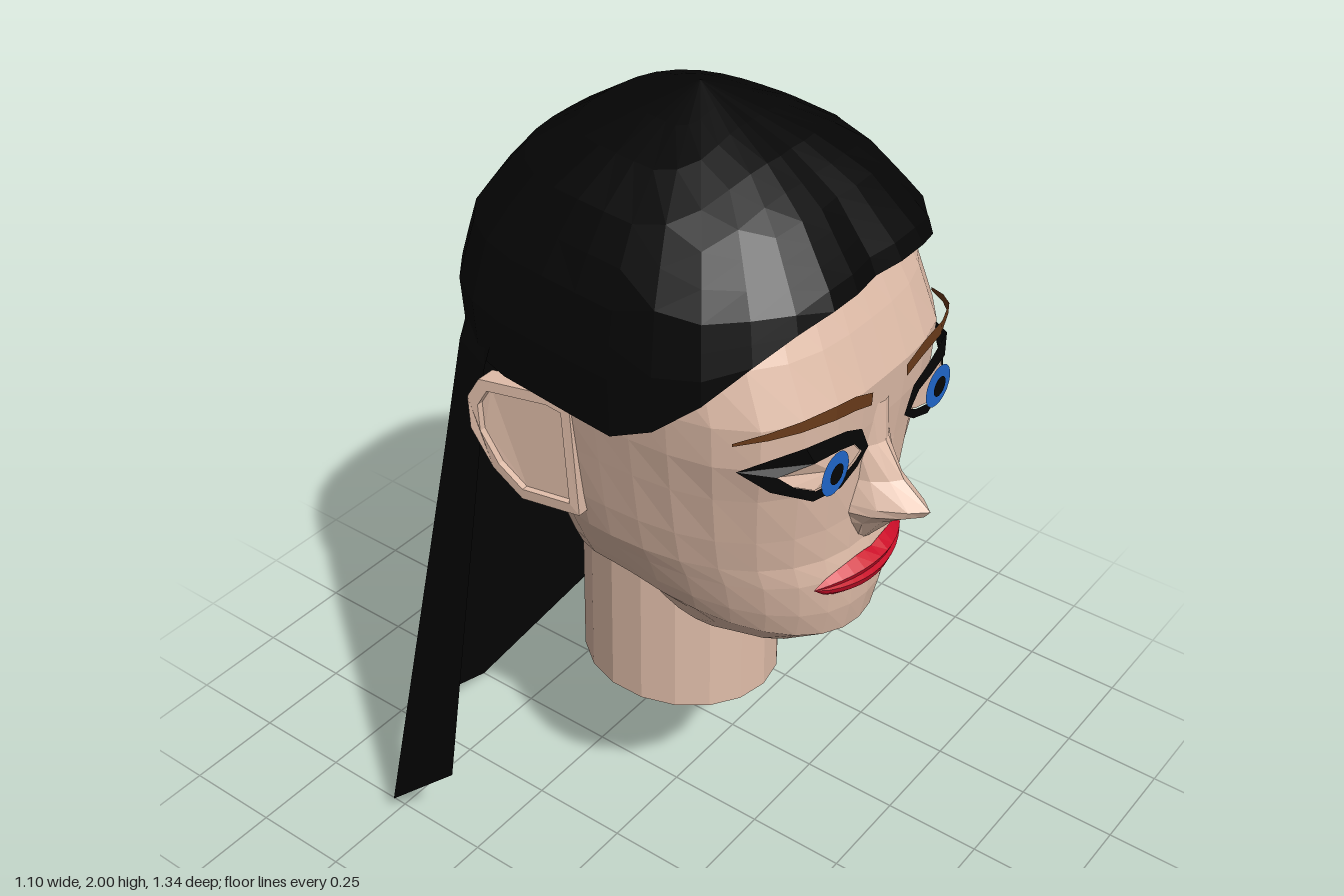
import * as THREE from 'three';

const mat = (name, color, side = THREE.FrontSide) => {
  const m = new THREE.MeshStandardMaterial({ color, side, flatShading: true });
  m.name = name;
  return m;
};

// Surface through rows of [x, y, z] points; rows go up, columns go right as seen from outside
function grid(rows, closed = false) {
  const n = rows[0].length, idx = [];
  for (let r = 0; r < rows.length - 1; r++) {
    for (let c = 0; c < (closed ? n : n - 1); c++) {
      const a = r * n + c, b = r * n + (c + 1) % n;
      idx.push(a, b, a + n, b, b + n, a + n);
    }
  }
  const g = new THREE.BufferGeometry();
  g.setAttribute('position', new THREE.Float32BufferAttribute(rows.flat(2), 3));
  g.setIndex(idx);
  const flat = g.toNonIndexed();
  flat.computeVertexNormals();
  return flat;
}

// Piecewise linear lookup in [key, value] pairs with rising keys
function lookup(table, k) {
  if (k <= table[0][0]) return table[0][1];
  for (let i = 1; i < table.length; i++) {
    const [k0, v0] = table[i - 1], [k1, v1] = table[i];
    if (k <= k1) return v0 + (v1 - v0) * (k - k0) / (k1 - k0);
  }
  return table[table.length - 1][1];
}

// Rounded-box outline point at an angle: 0 is the front, a quarter turn is +x
function outline(a, n, w, front, back, zc) {
  const s = Math.sin(a), c = Math.cos(a);
  const k = Math.pow(Math.pow(Math.abs(s), n) + Math.pow(Math.abs(c), n), -1 / n);
  return [w * s * k, zc + c * k * (c > 0 ? front - zc : zc - back)];
}

const SEG = 32;
const angles = Array.from({ length: SEG }, (_, i) => i / SEG * Math.PI * 2);
// Curve of the face that the eyes and brows lie on
const eyeZ = x => 0.545 - 0.122 * Math.pow(Math.max(0, x - 0.19) / 0.18, 2);

export function createModel() {
  const group = new THREE.Group();
  const skin = mat('skin', 0xe0bda9);
  const skinSheet = mat('skin sheet', 0xe0bda9, THREE.DoubleSide);
  const hair = mat('black hair', 0x050505, THREE.DoubleSide);
  const brown = mat('brow brown', 0x6a3b1a, THREE.DoubleSide);
  const blue = mat('iris blue', 0x2068cc);
  const red = mat('lip red', 0xcc0e28, THREE.DoubleSide);
  const add = (name, geo, material) => {
    const m = new THREE.Mesh(geo, material);
    m.name = name;
    group.add(m);
    return m;
  };

  // Head: y, half width, front, back, squareness, rise of the jaw at the side
  const sections = [
    [0.69, 0.21, 0.27, -0.22, 2, 0.19],
    [0.73, 0.235, 0.40, -0.22, 2, 0.18],
    [0.82, 0.275, 0.515, -0.23, 2.1, 0.10],
    [0.90, 0.298, 0.53, -0.23, 2.2, 0.06],
    [1.00, 0.325, 0.535, -0.24, 2.25, 0.02],
    [1.06, 0.343, 0.522, -0.24, 2.3, 0],
    [1.15, 0.36, 0.522, -0.25, 2.5, 0],
    [1.28, 0.377, 0.526, -0.27, 2.9, 0],
    [1.38, 0.39, 0.535, -0.30, 3.4, 0],
    [1.48, 0.40, 0.54, -0.32, 3.3, 0],
    [1.60, 0.40, 0.495, -0.32, 2.9, 0],
    [1.70, 0.365, 0.45, -0.28, 2.6, 0],
    [1.82, 0.22, 0.28, -0.14, 2.2, 0],
    [1.90, 0.02, 0.10, 0.02, 2, 0],
  ];
  add('head', grid(sections.map(([y, w, f, b, n, rise]) => angles.map(a => {
    const [x, z] = outline(a, n, w, f, b, 0.08);
    const lift = z > 0.05
      ? Math.min(1, (f - z) / (f - 0.05))
      : 1 - 0.5 * (0.05 - z) / 0.27;
    return [x, y + rise * lift, z];
  })), true), skin);

  // Neck
  const neck = new THREE.CylinderGeometry(0.215, 0.22, 0.46, 18);
  neck.scale(1, 1, 1.13);
  neck.translate(0, 0.71, 0.015);
  add('neck', neck, skin);

  // Nose: y, half width, root depth, ridge depth
  const noseRows = [
    [1.05, 0.03, 0.50, 0.518], [1.13, 0.072, 0.505, 0.588],
    [1.165, 0.085, 0.505, 0.655], [1.185, 0.08, 0.51, 0.67],
    [1.24, 0.062, 0.51, 0.60], [1.32, 0.055, 0.515, 0.55], [1.42, 0.045, 0.525, 0.542],
  ];
  const noseCols = [[-1, 0], [-0.8, 0.42], [-0.4, 0.78], [0, 1], [0.4, 0.78], [0.8, 0.42], [1, 0]];
  add('nose', grid(noseRows.map(([y, w, z0, z1]) =>
    noseCols.map(([u, d]) => [u * w, y, z0 + (z1 - z0) * d]))), skin);

  // Lips: each row is height and bulge, both fading to the corners
  const lip = (name, rows, dip) => add(name, grid(rows.map(([dy, dz], r) =>
    Array.from({ length: 13 }, (_, i) => {
      const u = i / 6 - 1, k = Math.pow(1 - u * u, 0.7);
      const notch = dip && r === rows.length - 1 ? 0.008 * Math.max(0, 1 - Math.abs(u) * 4) : 0;
      return [0.17 * u, 0.997 + dy * k - notch, 0.54 - 0.042 * u * u + dz * k];
    }))), red);
  lip('lowerLip', [[-0.056, -0.012], [-0.035, 0.012], [-0.012, 0.021], [0, 0.014]], false);
  lip('upperLip', [[0, 0.014], [0.018, 0.021], [0.043, -0.008]], true);

  // Eye outlines, clockwise from the inner corner
  const outer = [[0.07, 1.345], [0.10, 1.405], [0.16, 1.432], [0.27, 1.442], [0.37, 1.398],
    [0.325, 1.345], [0.25, 1.303], [0.17, 1.296], [0.11, 1.315]];
  const inner = [[0.096, 1.347], [0.125, 1.38], [0.175, 1.395], [0.25, 1.398], [0.315, 1.38],
    [0.288, 1.35], [0.245, 1.327], [0.17, 1.321], [0.12, 1.334]];
  const browTop = [[0.065, 1.475], [0.13, 1.5], [0.2, 1.515], [0.28, 1.508], [0.33, 1.49], [0.375, 1.467]];
  const browLow = [[0.067, 1.445], [0.13, 1.465], [0.2, 1.481], [0.28, 1.482], [0.33, 1.472], [0.375, 1.46]];

  for (const s of [1, -1]) {
    const side = s > 0 ? 'left' : 'right';
    const lay = (pts, off) => {
      const row = pts.map(([x, y]) => [x * s, y, eyeZ(x) + off]);
      return s > 0 ? row : row.reverse();
    };

    // Eye
    add(side + 'EyeSurface', grid([lay(inner.map(() => [0.2, 1.355]), 0), lay(inner, 0)], true), skinSheet);
    add(side + 'EyeLiner', grid([lay(inner, 0.004), lay(outer, 0.004)], true), hair);
    const iris = add(side + 'Iris', new THREE.CircleGeometry(0.05, 20), blue);
    iris.position.set(0.2 * s, 1.352, 0.553);
    const pupil = add(side + 'Pupil', new THREE.CircleGeometry(0.024, 16), hair);
    pupil.position.set(0.2 * s, 1.352, 0.557);

    // Eyebrow
    add(side + 'Eyebrow', grid([lay(browLow, 0.004), lay(browTop, 0.004)]), brown);

    // Ear: rim and recessed bowl, flaring out towards the back
    const earPts = [[0.02, 1.405], [-0.02, 1.42], [-0.18, 1.42], [-0.208, 1.37], [-0.205, 1.29],
      [-0.165, 1.19], [-0.11, 1.115], [0.02, 1.105]].map(p => new THREE.Vector2(...p));
    const mid = new THREE.Vector2(-0.085, 1.275);
    const bowlPts = earPts.map(p => p.clone().sub(mid).multiplyScalar(0.82).add(mid));
    const rim = new THREE.Shape(earPts);
    rim.holes.push(new THREE.Path(bowlPts));
    const ear = (shape, depth) => {
      const g = new THREE.ExtrudeGeometry(shape, { depth, bevelEnabled: false });
      const p = g.attributes.position;
      for (let i = 0; i < p.count; i++) {
        const z = p.getX(i), y = p.getY(i), d = p.getZ(i);
        const flare = 0.06 * (0.02 - z) / 0.22 - 0.15 * Math.max(0, 1.25 - y);
        p.setXYZ(i, s * (0.352 + flare + d), y, z);
      }
      // The swap of axes mirrors the shape, so turn the faces on the left
      if (s > 0) {
        for (let i = 0; i < p.count; i += 3) {
          const a = new THREE.Vector3().fromBufferAttribute(p, i + 1);
          const b = new THREE.Vector3().fromBufferAttribute(p, i + 2);
          p.setXYZ(i + 1, b.x, b.y, b.z);
          p.setXYZ(i + 2, a.x, a.y, a.z);
        }
      }
      g.computeVertexNormals();
      return g;
    };
    add(side + 'EarRim', ear(rim, 0.045), skin);
    add(side + 'EarBowl', ear(new THREE.Shape(bowlPts), 0.03), skin);
  }

  // Hair cap: dome from the hairline up to the crown, drawn in a little at the parting
  const dome = [[1.4, 0.98], [1.57, 1], [1.72, 0.915], [1.85, 0.69], [1.92, 0.45], [2, 0]];
  const hairline = [[-0.25, 1.43], [-0.02, 1.43], [0.2, 1.4], [0.36, 1.54], [0.47, 1.65], [0.54, 1.7]];
  const capRow = (t, shrink) => angles.map(a => {
    const [x, z] = outline(a, 2.7, 0.443, 0.56, -0.43, 0.06);
    const low = lookup(hairline, z);
    const y = low + (2 - low) * t, r = lookup(dome, y) * shrink;
    const dent = z > 0 ? 0.025 * (1 - t) * Math.max(0, 1 - Math.abs(x) / 0.17) : 0;
    return [x * r, y, 0.06 + (z - 0.06) * r - dent];
  });
  add('hairCap', grid([capRow(0, 0.88),
    ...[0, 0.12, 0.24, 0.36, 0.48, 0.6, 0.72, 0.84, 0.92, 1].map(t => capRow(t, 1))], true), hair);

  // Long hair down the back, with a pointed hem
  const fall = [
    [[0.55, 0.29, -0.265], [0.54, 0.06, -0.495], [0.33, 0.22, -0.55], [0, 0.005, -0.672]],
    [[0.442, 1.2, -0.203], [0.42, 1.15, -0.33], [0.24, 1.15, -0.45], [0, 1.1, -0.495]],
    [[0.42, 1.43, -0.19], [0.37, 1.43, -0.305], [0.2, 1.43, -0.418], [0, 1.43, -0.435]],
    [[0.39, 1.6, -0.15], [0.33, 1.6, -0.25], [0.19, 1.6, -0.37], [0, 1.6, -0.405]],
  ];
  add('longHair', grid(fall.map(row =>
    [...row, ...row.slice(0, 3).reverse().map(([x, y, z]) => [-x, y, z])])), hair);

  return group;
}
